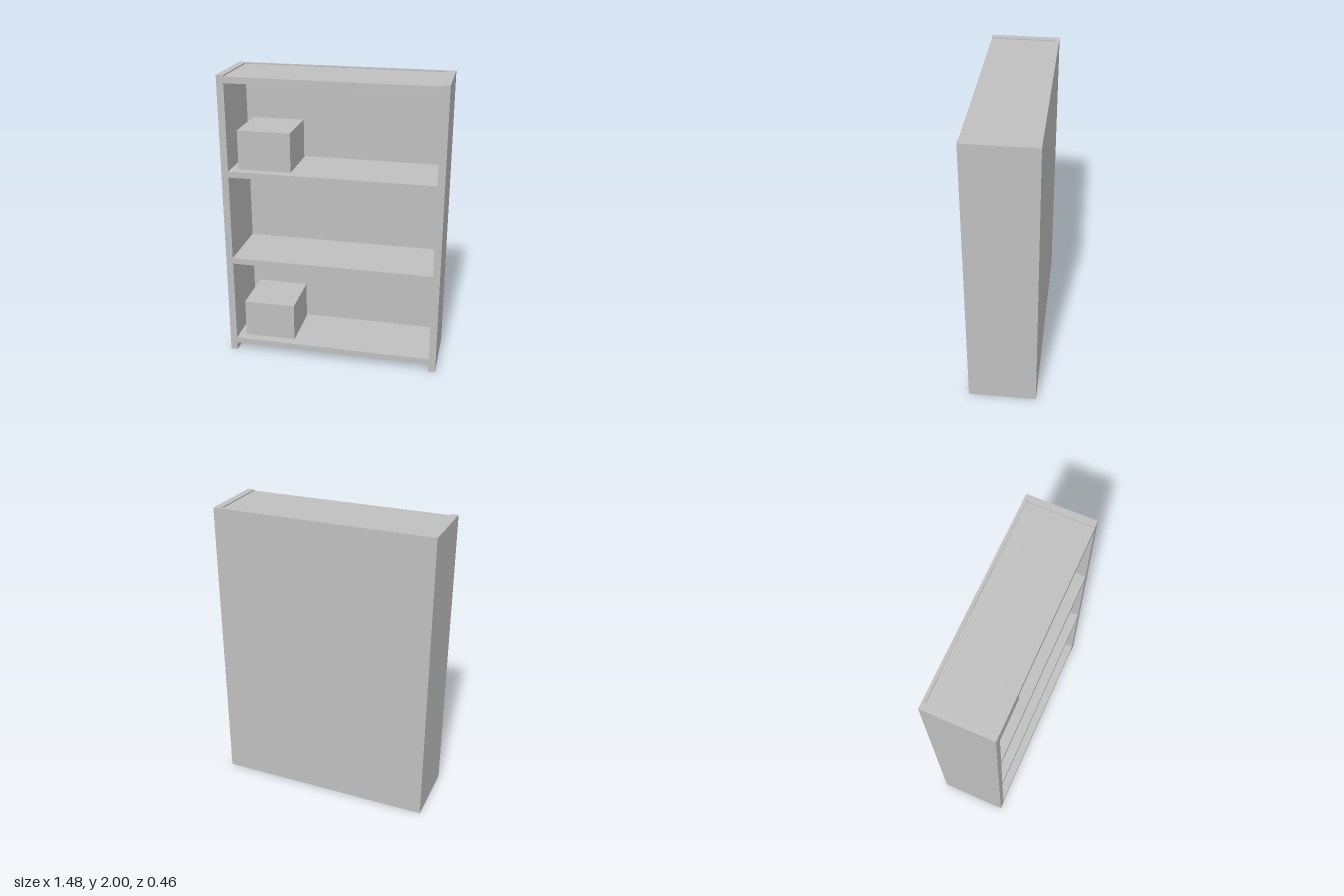
import * as THREE from 'three';

export function createModel() {
  const model = new THREE.Group();
  model.name = 'bookcase';
  const grey = new THREE.MeshStandardMaterial({ color: 0xbfbfbf });
  grey.name = 'light grey';

  // Box given by its lower and upper limits on each axis
  const block = (name, [x0, x1], [y0, y1], [z0, z1]) => {
    const mesh = new THREE.Mesh(new THREE.BoxGeometry(x1 - x0, y1 - y0, z1 - z0), grey);
    mesh.position.set((x0 + x1) / 2, (y0 + y1) / 2, (z0 + z1) / 2);
    mesh.name = name;
    model.add(mesh);
  };

  const outer = 0.74, inner = 0.692, front = 0.232, back = -0.232, panel = -0.21;

  // Upright sides
  block('leftSide', [inner, outer], [0, 2], [back, front]);
  block('rightSide', [-outer, -inner], [0, 2], [back, front]);

  // Back panel between the sides
  block('backPanel', [-inner, inner], [0, 2], [back, panel]);

  // Four boards; the lowest stands clear of the floor, the top sits just below the rim
  const boardTops = [0.098, 0.729, 1.36, 1.992];
  boardTops.forEach((top, i) =>
    block(`shelf${i + 1}`, [-inner, inner], [top - 0.042, top], [panel, front]));

  // Storage boxes on the lowest and third boards
  for (const i of [0, 2]) {
    const base = boardTops[i];
    block(`storageBox${i + 1}`, [-0.64, -0.28], [base, base + 0.267], [-0.19, 0.17]);
  }
  return model;
}
